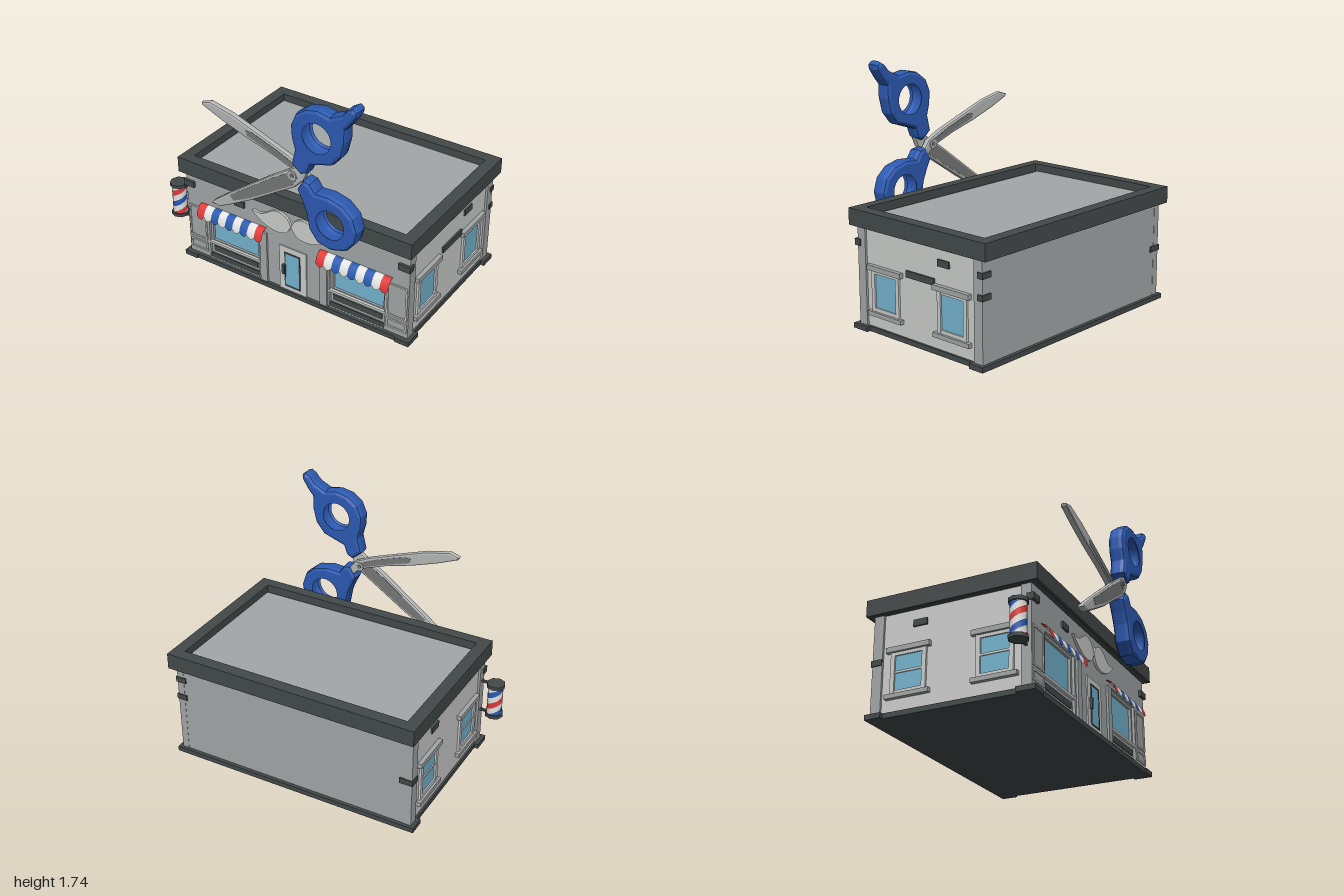
import * as THREE from 'three';

const mat = (name, color, side = THREE.FrontSide) => {
  const m = new THREE.MeshStandardMaterial({ color, side });
  m.name = name;
  return m;
};

export function createModel() {
  const wall = mat('wallGrey', 0xa2a6a6), light = mat('paleGrey', 0xcbcdcb), dark = mat('charcoal', 0x434949);
  const deck = mat('roofGrey', 0x6a6b69), blue = mat('blue', 0x2c5ab2, THREE.DoubleSide);
  const glass = mat('glassBlue', 0x73b3ce), red = mat('red', 0xe03a3a, THREE.DoubleSide);
  const white = mat('white', 0xe4e5e3, THREE.DoubleSide), steel = mat('steel', 0xb2b6b4), shade = mat('darkSteel', 0x757878);

  const model = new THREE.Group();
  model.name = 'barberShop';
  const add = (name, geo, m) => {
    const mesh = new THREE.Mesh(geo, m);
    mesh.name = name;
    model.add(mesh);
    return mesh;
  };
  // Box given by its extents
  const box = (name, m, x0, x1, y0, y1, z0, z1) => {
    const b = add(name, new THREE.BoxGeometry(Math.abs(x1 - x0), y1 - y0, z1 - z0), m);
    b.position.set((x0 + x1) / 2, (y0 + y1) / 2, (z0 + z1) / 2);
  };
  // Four bars around a rectangle on the front
  const frame = (name, m, x0, x1, y0, y1, z0, z1, t) => {
    box(name, m, x0, x1, y0, y0 + t, z0, z1);
    box(name, m, x0, x1, y1 - t, y1, z0, z1);
    box(name, m, x0, x0 + t, y0 + t, y1 - t, z0, z1);
    box(name, m, x1 - t, x1, y0 + t, y1 - t, z0, z1);
  };
  const outline = (pts) => new THREE.Shape(pts.map(([x, y]) => new THREE.Vector2(x, y)));
  // Outline extruded from z0 to z1 with a chamfer of width b and depth d
  const slab = (name, m, shape, z0, z1, b = 0, d = b) => {
    const geo = new THREE.ExtrudeGeometry(shape, {
      depth: z1 - z0 - 2 * d, bevelEnabled: b > 0, bevelSize: b, bevelOffset: -b,
      bevelThickness: d, bevelSegments: 2, curveSegments: 20,
    });
    geo.translate(0, 0, z0 + d);
    return add(name, geo, m);
  };
  const CX = 0.07; // building centre in x

  // Building core, roof deck and parapet
  box('core', wall, CX - 0.875, CX + 0.875, 0.02, 0.77, -0.63, 0.44);
  box('roofDeck', deck, -0.78, 0.92, 0.74, 0.765, -0.61, 0.465);
  box('parapetFront', dark, -0.855, 1, 0.71, 0.825, 0.455, 0.535);
  box('parapetBack', dark, -0.855, 1, 0.71, 0.825, -0.685, -0.6);
  box('parapetLeft', dark, 0.913, 1, 0.71, 0.825, -0.6, 0.455);
  box('parapetRight', dark, -0.855, -0.77, 0.71, 0.825, -0.6, 0.455);
  box('eaves', dark, -0.84, 0.985, 0.705, 0.73, -0.67, 0.52);

  // Base with wider corners
  box('base', dark, -0.83, 0.97, 0, 0.035, -0.655, 0.51);
  for (const s of [-1, 1]) {
    box('baseCorner', dark, CX + s * 0.82, CX + s * 0.927, 0, 0.035, 0.39, 0.52);
    box('baseCorner', dark, CX + s * 0.82, CX + s * 0.927, 0, 0.035, -0.655, -0.54);
  }

  // Front wall with two window bays
  const facade = outline([[-0.83, 0.035], [0.97, 0.035], [0.97, 0.71], [-0.83, 0.71]]);
  for (const x of [-0.65, 0.36]) {
    const p = [[x, 0.036], [x, 0.455], [x + 0.43, 0.455], [x + 0.43, 0.036]];
    facade.holes.push(new THREE.Path(p.map(([a, b]) => new THREE.Vector2(a, b))));
  }
  slab('frontWall', wall, facade, 0.415, 0.485);

  // Side walls, corner posts and windows
  for (const s of [-1, 1]) {
    const X = (d) => CX + s * d;
    box('sideWall', light, X(0.87), X(0.885), 0.035, 0.71, -0.56, 0.415);
    box('cornerPost', wall, X(0.85), X(0.9), 0.035, 0.71, -0.632, -0.56);
    for (const z of [0.235, -0.37]) {
      box('windowGlass', glass, X(0.88), X(0.888), 0.17, 0.41, z - 0.1, z + 0.1);
      for (const e of [-1, 1]) {
        box('windowJamb', light, X(0.88), X(0.9), 0.15, 0.43, z + e * 0.113 - 0.015, z + e * 0.113 + 0.015);
      }
      box('windowRail', light, X(0.88), X(0.898), 0.15, 0.175, z - 0.1, z + 0.1);
      box('windowRail', light, X(0.88), X(0.898), 0.408, 0.43, z - 0.1, z + 0.1);
      box('windowSill', wall, X(0.88), X(0.915), 0.12, 0.15, z - 0.157, z + 0.157);
      box('windowLintel', wall, X(0.88), X(0.915), 0.43, 0.465, z - 0.157, z + 0.157);
      if (s < 0) box('windowBar', light, X(0.88), X(0.895), 0.29, 0.305, z - 0.1, z + 0.1);
    }
    box('wallBrick', dark, X(0.88), X(0.897), 0.585, 0.63, -0.345, -0.245);
  }
  box('wallBrick', dark, 0.95, 0.967, 0.45, 0.495, -0.215, 0.04);

  // Dark bricks on the corners and front
  box('cornerBrick', dark, -0.84, -0.755, 0.59, 0.635, 0.455, 0.505);
  box('frontBrick', dark, -0.41, -0.325, 0.575, 0.62, 0.46, 0.5);
  box('cornerBrick', dark, 0.89, 0.98, 0.575, 0.62, 0.455, 0.505);
  box('cornerBrick', dark, 0.9, 0.977, 0.585, 0.625, -0.64, -0.595);
  box('cornerBrick', dark, 0.9, 0.977, 0.445, 0.485, -0.64, -0.595);
  box('cornerBrick', dark, -0.837, -0.74, 0.36, 0.4, -0.64, -0.56);

  // Shop fronts
  for (const x of [-0.65, 0.36]) {
    box('shopGlass', glass, x + 0.02, x + 0.41, 0.18, 0.455, 0.435, 0.448);
    frame('shopFrame', wall, x, x + 0.43, 0.165, 0.455, 0.435, 0.465, 0.018);
    box('shopSill', light, x, x + 0.43, 0.158, 0.176, 0.44, 0.485);
    box('stallRiser', wall, x, x + 0.43, 0.07, 0.158, 0.435, 0.465);
    box('stallPanel', dark, x + 0.02, x + 0.405, 0.09, 0.135, 0.46, 0.47);
    box('kickPlate', dark, x, x + 0.43, 0.035, 0.07, 0.43, 0.475);
  }
  for (const [x0, x1] of [[-0.82, -0.67], [0.805, 0.96]]) {
    frame('sidePanelUpper', light, x0, x1, 0.172, 0.435, 0.48, 0.492, 0.012);
    frame('sidePanelLower', light, x0, x1, 0.075, 0.15, 0.48, 0.492, 0.012);
  }
  for (const x of [-0.2, 0.29]) box('pilaster', wall, x, x + 0.058, 0.035, 0.44, 0.48, 0.5);

  // Door
  box('doorSurround', light, -0.04, 0.18, 0.035, 0.39, 0.48, 0.494);
  frame('doorTrim', dark, 0.005, 0.132, 0.068, 0.348, 0.49, 0.5, 0.009);
  box('doorGlass', glass, 0.013, 0.124, 0.076, 0.34, 0.49, 0.497);
  box('doorHandle', dark, -0.01, 0.008, 0.17, 0.245, 0.494, 0.512);

  // Striped awnings, each stripe a curved strip with a rounded hem
  const stripeW = 0.555 / 9;
  const stripes = [red, white, blue, white, blue, white, blue, white, red];
  for (const x of [-0.705, 0.292]) {
    stripes.forEach((m, i) => {
      const geo = new THREE.PlaneGeometry(stripeW, 1, 6, 8), p = geo.attributes.position;
      for (let k = 0; k < p.count; k++) {
        const u = p.getX(k), hem = 1 - 0.16 * (2 * u / stripeW) ** 2;
        const a = (0.5 - p.getY(k)) * hem * Math.PI / 2;
        p.setXYZ(k, u + x + stripeW * (i + 0.5), 0.48 - 0.095 * (1 - Math.cos(a)), 0.485 + 0.065 * Math.sin(a));
      }
      geo.computeVertexNormals();
      add('awningStripe', geo, m);
    });
  }

  // Moustache sign
  const half = [[0, 0.575], [0.03, 0.63], [0.09, 0.66], [0.15, 0.65], [0.21, 0.61], [0.26, 0.592], [0.32, 0.597],
    [0.255, 0.54], [0.17, 0.502], [0.1, 0.497], [0.04, 0.515], [0, 0.575]];
  for (const s of [-1, 1]) {
    const curve = new THREE.SplineCurve(half.map(([x, y]) => new THREE.Vector2(0.065 + s * x, y)));
    slab('moustache', light, new THREE.Shape(curve.getPoints(44)), 0.48, 0.502);
  }

  // Barber pole: helical bands between two caps
  const px = -0.935, pz = 0.45;
  [red, white, blue, white].forEach((m, i) => {
    const geo = new THREE.PlaneGeometry(1, 1, 6, 40), p = geo.attributes.position;
    for (let k = 0; k < p.count; k++) {
      const h = p.getY(k) + 0.5, a = (p.getX(k) + i) * Math.PI / 2 + h * 8;
      p.setXYZ(k, px + 0.053 * Math.sin(a), 0.305 + 0.225 * h, pz + 0.053 * Math.cos(a));
    }
    geo.computeVertexNormals();
    add('poleBand', geo, m);
  });
  for (const y of [0.301, 0.539]) {
    add('poleCap', new THREE.CylinderGeometry(0.065, 0.065, 0.025, 8), dark).position.set(px, y, pz);
    box('poleBracket', dark, px, -0.825, y - 0.008, y + 0.008, pz - 0.008, pz + 0.008);
  }

  // Scissor handles
  const handle = (pts, cx, cy, z0, z1) => {
    const s = outline(pts);
    s.holes.push(new THREE.Path().absarc(cx, cy, 0.128, 0, Math.PI * 2, true));
    slab('scissorHandle', blue, s, z0, z1, 0.024, 0.035);
  };
  handle([[0.2, 1.21], [0.225, 1.32], [0.203, 1.4], [0.198, 1.49], [0.235, 1.575], [0.31, 1.63], [0.4, 1.648],
    [0.487, 1.63], [0.567, 1.668], [0.61, 1.717], [0.647, 1.738], [0.677, 1.715], [0.673, 1.68], [0.63, 1.615],
    [0.593, 1.57], [0.593, 1.48], [0.567, 1.374], [0.503, 1.294], [0.422, 1.267], [0.342, 1.24], [0.315, 1.171],
    [0.272, 1.15]], 0.396, 1.455, 0.57, 0.685);
  handle([[0.225, 1.02], [0.273, 1.1], [0.326, 1.09], [0.364, 1.035], [0.46, 1.042], [0.567, 1.016], [0.647, 0.947],
    [0.679, 0.85], [0.658, 0.76], [0.594, 0.68], [0.487, 0.647], [0.38, 0.668], [0.316, 0.749], [0.294, 0.866],
    [0.262, 0.947]], 0.481, 0.845, 0.545, 0.665);

  // Scissor blades with darker ground faces on both sides
  const blade = (pts, ground, z0, z1) => {
    slab('blade', steel, outline(pts), z0, z1, 0.012, 0.015);
    for (const z of [z0 - 0.002, z1 - 0.002]) slab('bladeGroundFace', shade, outline(ground), z, z + 0.004);
  };
  blade([[-0.56, 1.374], [-0.49, 1.396], [-0.315, 1.358], [-0.1, 1.283], [0.123, 1.203], [0.235, 1.15], [0.3, 1.07],
    [0.25, 1.04], [0.19, 1.096], [0, 1.166], [-0.21, 1.225], [-0.395, 1.289], [-0.55, 1.353]],
  [[-0.2, 1.28], [-0.15, 1.28], [0.05, 1.212], [0.2, 1.145], [0.18, 1.118], [0, 1.183], [-0.19, 1.245]], 0.558, 0.603);
  blade([[-0.47, 0.663], [-0.395, 0.658], [-0.305, 0.706], [-0.128, 0.807], [0.06, 0.93], [0.21, 1.027], [0.28, 1.1],
    [0.32, 1.19], [0.25, 1.2], [0.165, 1.144], [0.03, 1.053], [-0.128, 0.936], [-0.315, 0.797], [-0.45, 0.69]],
  [[-0.305, 0.788], [-0.28, 0.752], [-0.2, 0.79], [-0.12, 0.835], [0.05, 0.945], [0.2, 1.043], [0.24, 1.11],
    [0.175, 1.13], [0.03, 1.035], [-0.128, 0.918]], 0.618, 0.665);

  // Pivot screw
  const pivot = (r, len, z, m) => {
    const c = add('pivot', new THREE.CylinderGeometry(r, r, len, 16), m);
    c.rotation.x = Math.PI / 2;
    c.position.set(0.2, 1.118, z);
  };
  pivot(0.032, 0.12, 0.612, steel);
  pivot(0.015, 0.128, 0.612, shade);

  return model;
}
